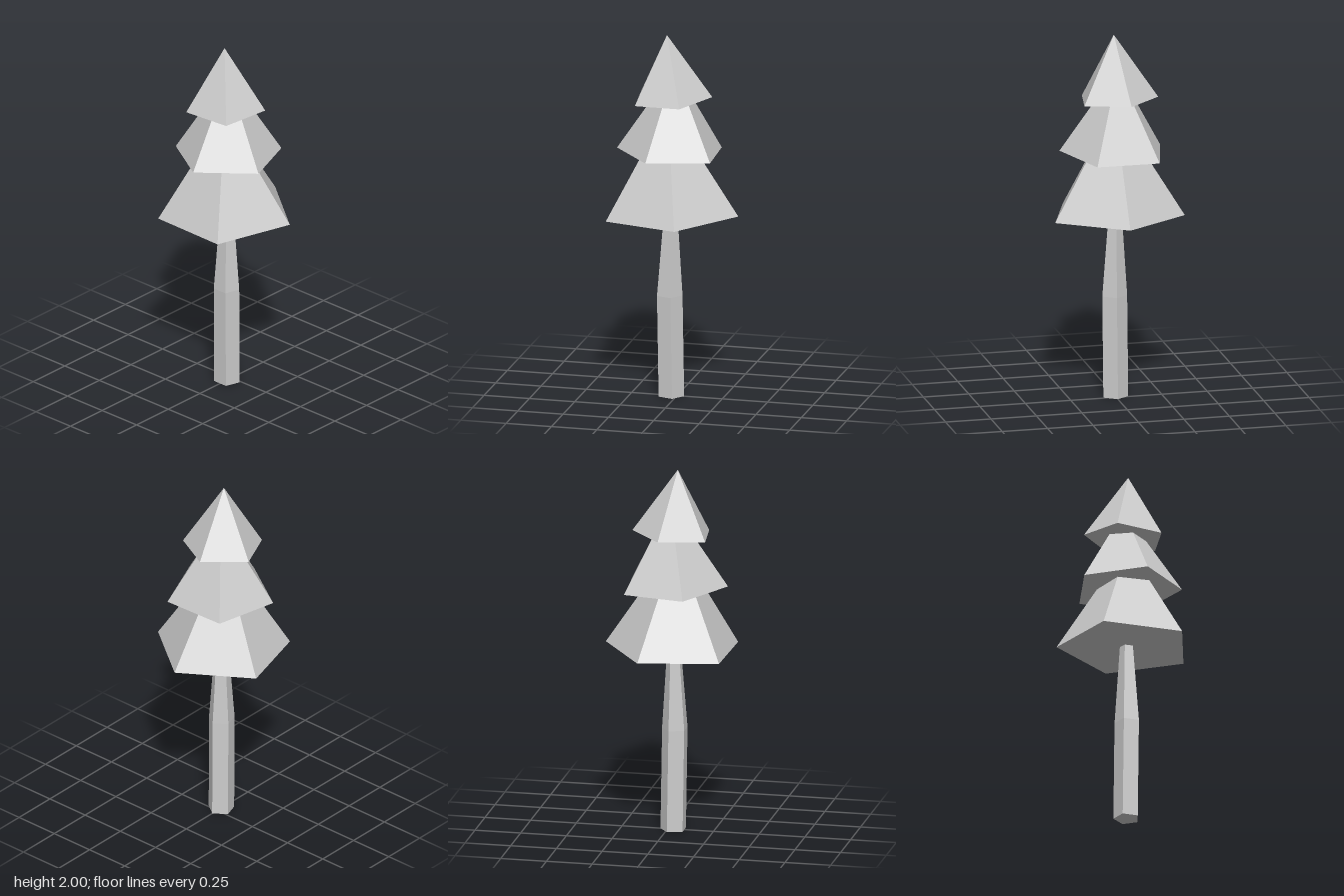
import * as THREE from 'three';

const SIDES = 5;
const material = new THREE.MeshStandardMaterial({ color: 0xcccccc, flatShading: true });

// Five-sided cone from a base centre to a tip; angle is the first corner, in degrees from +x towards +z
function foliageTier(name, base, tip, radius, angle) {
  const a = new THREE.Vector3(...base), b = new THREE.Vector3(...tip);
  const axis = b.clone().sub(a);
  const start = THREE.MathUtils.degToRad(90 - angle);
  const geometry = new THREE.ConeGeometry(radius, axis.length(), SIDES, 1, false, start);
  const mesh = new THREE.Mesh(geometry, material);
  mesh.name = name;
  mesh.position.copy(a).add(b).multiplyScalar(0.5);
  mesh.quaternion.setFromUnitVectors(new THREE.Vector3(0, 1, 0), axis.normalize());
  return mesh;
}

// Trunk lofted through pentagon rings given as [centre x, y, centre z, radius]
function trunkGeometry(rings) {
  const positions = [], index = [];
  for (const [x, y, z, r] of rings) {
    for (let i = 0; i < SIDES; i++) {
      const t = (i / SIDES) * Math.PI * 2;
      positions.push(x + r * Math.cos(t), y, z + r * Math.sin(t));
    }
  }
  for (let k = 0; k < rings.length - 1; k++) {
    for (let i = 0; i < SIDES; i++) {
      const j = (i + 1) % SIDES, low = k * SIDES, up = low + SIDES;
      index.push(low + i, up + i, up + j, low + i, up + j, low + j);
    }
  }
  // End caps
  const top = (rings.length - 1) * SIDES;
  for (let i = 1; i < SIDES - 1; i++) {
    index.push(0, i, i + 1, top, top + i + 1, top + i);
  }
  const geometry = new THREE.BufferGeometry();
  geometry.setAttribute('position', new THREE.Float32BufferAttribute(positions, 3));
  geometry.setIndex(index);
  const flat = geometry.toNonIndexed();
  flat.computeVertexNormals();
  return flat;
}

export function createModel() {
  const tree = new THREE.Group();
  tree.name = 'tree';

  const trunk = new THREE.Mesh(trunkGeometry([
    [-0.032, 0, 0, 0.072],
    [-0.04, 0.56, 0.004, 0.072],
    [-0.035, 1.03, 0, 0.037],
  ]), material);
  trunk.name = 'trunk';

  tree.add(
    trunk,
    foliageTier('lowerFoliage', [-0.033, 1.01, -0.003], [-0.05, 1.6, -0.003], 0.373, 1.2),
    foliageTier('middleFoliage', [-0.029, 1.353, 0], [-0.016, 1.82, -0.012], 0.297, 32),
    foliageTier('upperFoliage', [-0.035, 1.648, -0.011], [-0.055, 2, 0], 0.222, -7.4),
  );
  return tree;
}
